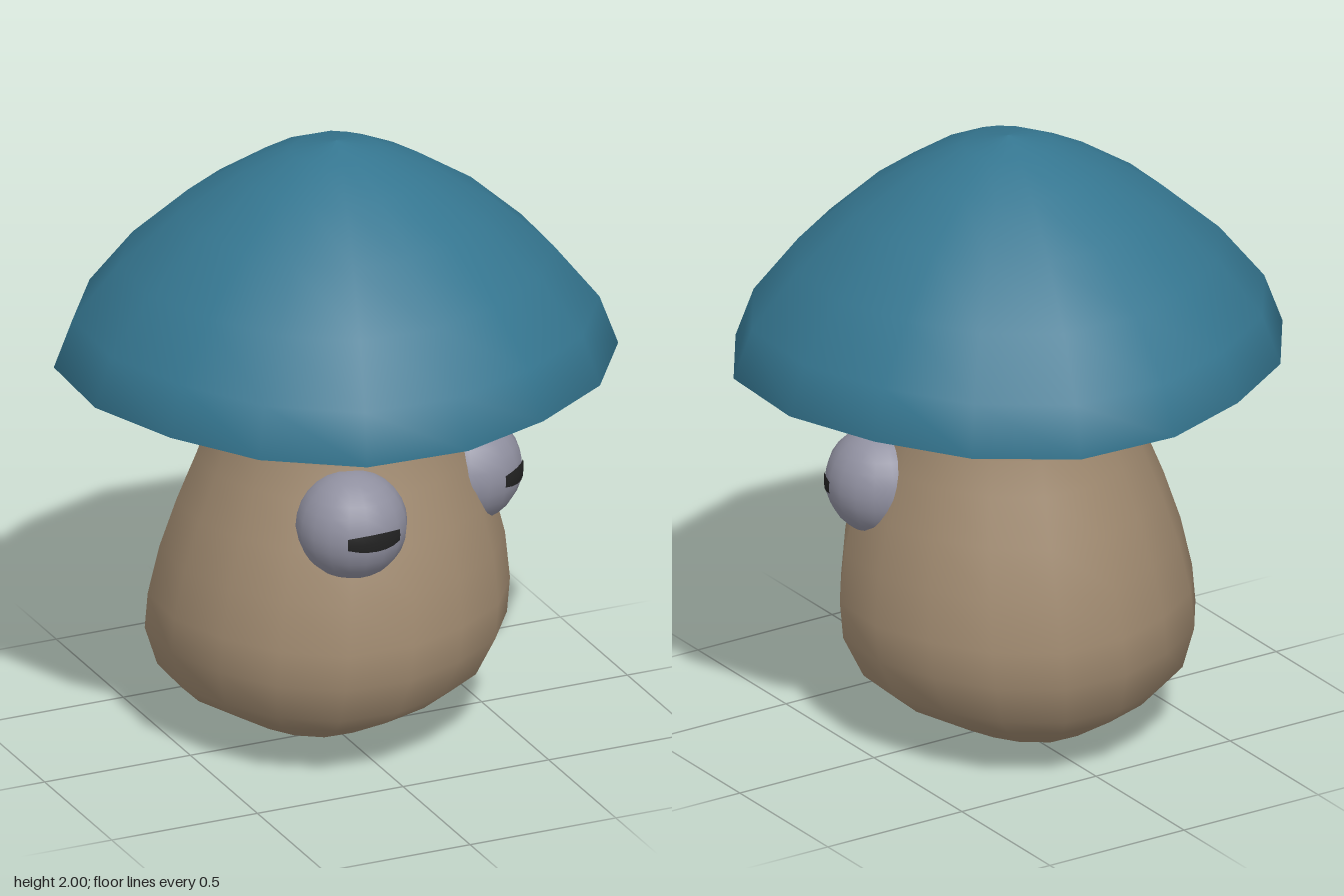
import * as THREE from 'three';

const material = (color) => new THREE.MeshStandardMaterial({ color });

// Sixteen-sided lathe whose rings are slightly squared off, and pushed back towards the base
function squaredLathe(profile, squareness, lean) {
  const geometry = new THREE.LatheGeometry(profile.map(([r, y]) => new THREE.Vector2(r, y)), 16);
  const p = geometry.attributes.position;
  for (let i = 0; i < p.count; i++) {
    const x = p.getX(i), y = p.getY(i), z = p.getZ(i);
    const k = 1 - squareness * Math.cos(4 * Math.atan2(x, z));
    const t = Math.max(0, 1 - y / 1.1);
    p.setXYZ(i, x * k, y, z * k - lean * t * t);
  }
  return geometry;
}

function addMesh(parent, name, geometry, mat) {
  const mesh = new THREE.Mesh(geometry, mat);
  mesh.name = name;
  parent.add(mesh);
  return mesh;
}

// Curved slit on the eyeball, narrowing towards both ends
function pupilGeometry(radius) {
  const half = 0.54;
  const geometry = new THREE.SphereGeometry(radius, 6, 2, Math.PI / 2 - half, 2 * half, Math.PI / 2 - 0.165, 0.33);
  const p = geometry.attributes.position;
  for (let i = 0; i < p.count; i++) {
    const a = Math.atan2(p.getX(i), p.getZ(i)) / half;
    p.setY(i, p.getY(i) * (1 - 0.35 * a * a));
  }
  return geometry;
}

export function createModel() {
  const model = new THREE.Group();
  model.name = 'mushroomCreature';
  const figure = new THREE.Group();
  figure.name = 'figure';
  figure.rotation.y = 0.464;
  model.add(figure);

  const brown = material(0xa08a70);
  const blue = material(0x357690);
  const grey = material(0x9090a0);
  const black = material(0x222222);

  // Bulging stem that flares into the underside of the cap
  addMesh(figure, 'stemAndGills', squaredLathe([
    [0, 0], [0.24, 0.055], [0.43, 0.165], [0.5, 0.23], [0.55, 0.36], [0.55, 0.48],
    [0.525, 0.64], [0.48, 0.8], [0.425, 0.95], [0.39, 1.06], [0.385, 1.1], [0.41, 1.13],
    [0.56, 1.19], [0.81, 1.25],
  ], 0.033, 0.09), brown);

  // Domed cap with a thin turned-in rim
  addMesh(figure, 'cap', squaredLathe([
    [0.81, 1.25], [0.857, 1.27], [0.8, 1.43], [0.66, 1.61], [0.48, 1.775],
    [0.29, 1.9], [0.14, 1.97], [0, 2],
  ], 0.033, 0), blue);

  // Eyes set into the front corners of the stem, slits turned outwards
  for (const side of [-1, 1]) {
    const eye = new THREE.Group();
    eye.name = side > 0 ? 'leftEye' : 'rightEye';
    eye.position.set(side * 0.287, 0.875, 0.291);
    eye.rotation.y = side * 0.41;
    addMesh(eye, 'eyeball', new THREE.SphereGeometry(0.176, 18, 14), grey);
    addMesh(eye, 'pupil', pupilGeometry(0.179), black);
    figure.add(eye);
  }
  return model;
}
